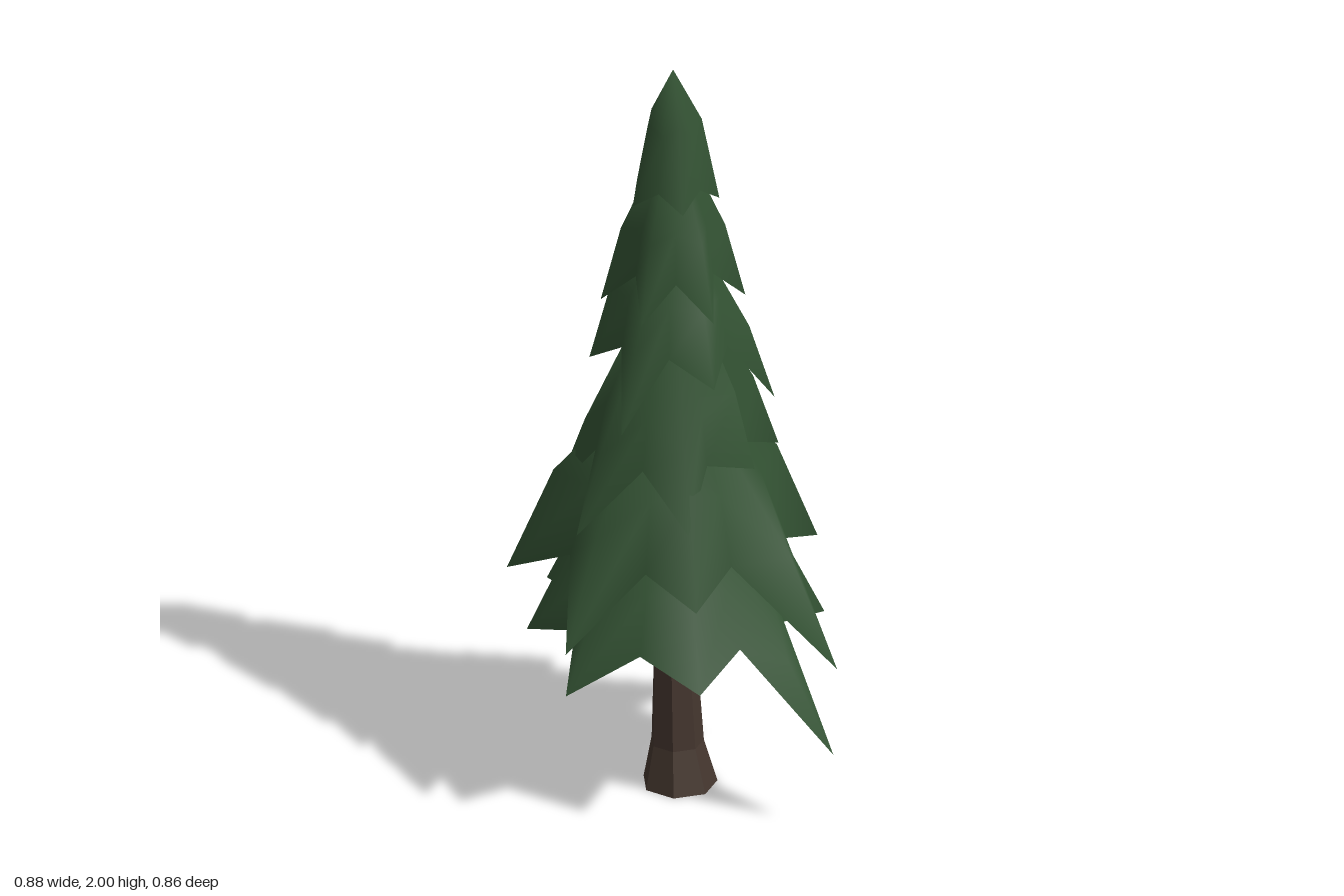
import * as THREE from 'three';

// the tree's axis sits a little off centre
const AXIS = new THREE.Vector3(-0.045, 0, 0.015);
const vec = (x, y, z) => new THREE.Vector3(x, y, z);

// evenly spaced branch tips; every second one reaches further out and hangs lower
function starTips(count, radius, y, phase, reach = 0, droop = 0) {
  return Array.from({ length: count }, (_, i) => {
    const angle = phase + (i * Math.PI * 2) / count;
    const r = radius + reach * (i % 2);
    return vec(AXIS.x + r * Math.cos(angle), y - droop * (i % 2), AXIS.z + r * Math.sin(angle));
  });
}

// the notch between two tips lies between them, pulled in toward the axis
function notchBetween(a, b, pull, y) {
  const reach = (p) => Math.hypot(p.x - AXIS.x, p.z - AXIS.z);
  const out = a.clone().add(b).multiplyScalar(0.5).sub(AXIS).setY(0);
  out.setLength(pull * Math.min(reach(a), reach(b)));
  return out.add(AXIS).setY(y);
}

// smooth star-shaped skirt: apex, inset shoulder ring, jagged hem ring
function tierGeometry(tips, { apex, notchY, pull, inset, rise }) {
  const hem = tips.flatMap((tip, i) =>
    [tip, notchBetween(tip, tips[(i + 1) % tips.length], pull, notchY)]);
  const shoulder = hem.map((p, i) => {
    const isNotch = i % 2;
    return p.clone().sub(AXIS).multiplyScalar(inset + 0.1 * isNotch).add(AXIS)
      .setY(p.y + rise * (isNotch ? 0.65 : 1));
  });
  const n = hem.length;
  const index = [];
  for (let i = 0; i < n; i++) {
    const a = 1 + i, b = 1 + (i + 1) % n;
    index.push(0, b, a, a, b, b + n, a, b + n, a + n);
  }
  const geometry = new THREE.BufferGeometry();
  geometry.setFromPoints([AXIS.clone().setY(apex), ...shoulder, ...hem]);
  geometry.setIndex(index);
  geometry.computeVertexNormals();
  return geometry;
}

// faceted trunk with a flared foot, leaning slightly toward the axis
function trunkGeometry() {
  const profile = [[0, 0], [0.096, 0], [0.068, 0.115], [0.046, 0.55], [0.03, 0.9]]
    .map(([r, y]) => new THREE.Vector2(r, y));
  const lathe = new THREE.LatheGeometry(profile, 7, 0.25);
  const p = lathe.attributes.position;
  for (let i = 0; i < p.count; i++) {
    const lean = Math.min(p.getY(i) / 0.3, 1);
    p.setX(i, p.getX(i) - 0.028 - 0.017 * lean);
    p.setZ(i, p.getZ(i) + AXIS.z);
  }
  const geometry = lathe.toNonIndexed();
  geometry.computeVertexNormals();
  return geometry;
}

export function createModel() {
  const needles = new THREE.MeshStandardMaterial({ color: 0x335233, side: THREE.DoubleSide });
  needles.name = 'needle green';
  const bark = new THREE.MeshStandardMaterial({ color: 0x44362e });
  bark.name = 'bark brown';

  const tree = new THREE.Group();
  tree.name = 'pineTree';
  const add = (name, geometry, material) => {
    const mesh = new THREE.Mesh(geometry, material);
    mesh.name = name;
    tree.add(mesh);
  };

  add('trunk', trunkGeometry(), bark);

  // three wide lower tiers with uneven boughs, tips listed from +x round toward +z
  const bottomTips = [
    vec(0.44, 0.22, 0.13), vec(0.165, 0.43, 0.34), vec(-0.175, 0.39, 0.4), vec(-0.365, 0.45, 0.2),
    vec(-0.445, 0.43, -0.12), vec(-0.27, 0.3, -0.4), vec(0.05, 0.32, -0.43), vec(0.285, 0.45, -0.18),
  ];
  const secondTips = [
    vec(0.425, 0.43, 0.07), vec(0.14, 0.64, 0.305), vec(-0.165, 0.52, 0.425), vec(-0.445, 0.58, 0.14),
    vec(-0.35, 0.62, -0.17), vec(-0.08, 0.62, -0.375), vec(0.22, 0.6, -0.29),
  ];
  const thirdTips = [
    vec(0.2, 0.95, 0.07), vec(0.1, 0.83, 0.26), vec(-0.19, 0.79, 0.295), vec(-0.33, 0.8, 0.09),
    vec(-0.36, 0.78, -0.17), vec(-0.08, 0.87, -0.265), vec(0.16, 0.9, -0.18),
  ];
  add('bottomTier', tierGeometry(bottomTips,
    { apex: 0.98, notchY: 0.49, pull: 0.76, inset: 0.72, rise: 0.22 }), needles);
  add('secondTier', tierGeometry(secondTips,
    { apex: 1.2, notchY: 0.69, pull: 0.67, inset: 0.72, rise: 0.28 }), needles);
  add('thirdTier', tierGeometry(thirdTips,
    { apex: 1.5, notchY: 0.96, pull: 0.69, inset: 0.76, rise: 0.2 }), needles);

  // three narrow upper tiers with regular boughs
  add('fourthTier', tierGeometry(starTips(6, 0.21, 1.19, 0.66, 0.045, 0.11),
    { apex: 1.65, notchY: 1.26, pull: 0.73, inset: 0.75, rise: 0.2 }), needles);
  add('fifthTier', tierGeometry(starTips(6, 0.182, 1.36, 0.58),
    { apex: 1.85, notchY: 1.45, pull: 0.62, inset: 0.72, rise: 0.2 }), needles);
  add('topTier', tierGeometry(starTips(5, 0.117, 1.645, 0.96),
    { apex: 2, notchY: 1.69, pull: 0.77, inset: 0.62, rise: 0.22 }), needles);

  return tree;
}
